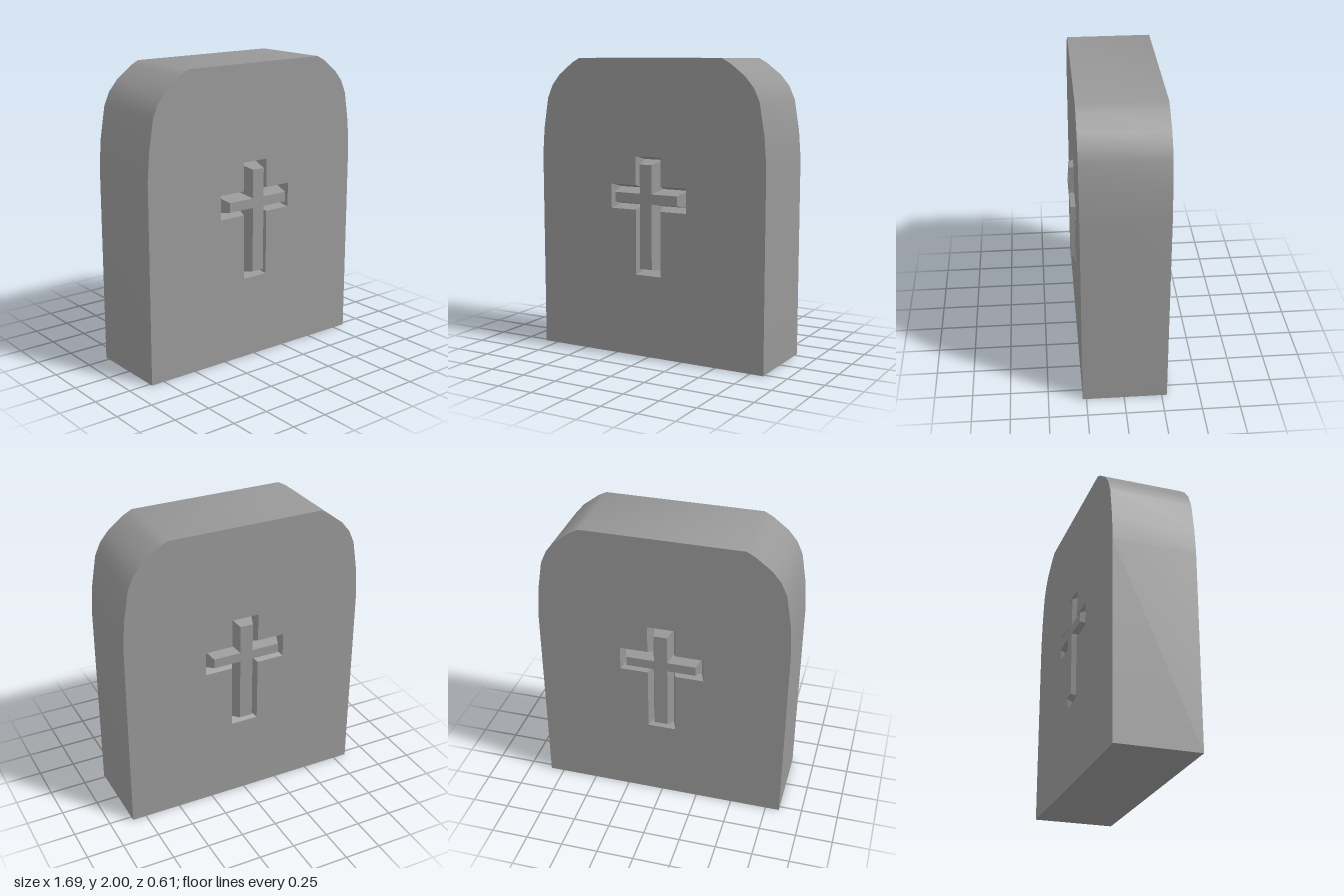
import * as THREE from 'three';
import { toCreasedNormals } from 'three/addons/utils/BufferGeometryUtils.js';

const material = new THREE.MeshStandardMaterial({ color: 0x979797 });
const FRONT = 0.274, BACK = -0.285, RAISED = 0.305;

// Right half of the rounded slab outline, bottom to top
const half = [[0.845, 0], [0.845, 1.34], [0.831, 1.52], [0.796, 1.73], [0.757, 1.816],
  [0.696, 1.889], [0.59, 1.97], [0.533, 2]];
const slab = [...half, ...half.map(([x, y]) => [-x, y]).reverse()];

// Cross outline, counter-clockwise, shrunk inwards by d
function cross(d) {
  const bar = 0.095 - d, arm = 0.285 - d;
  const bottom = 0.56 + d, low = 1 + d, high = 1.165 - d, top = 1.358 - d;
  return [[bar, bottom], [bar, low], [arm, low], [arm, high], [bar, high], [bar, top],
    [-bar, top], [-bar, high], [-arm, high], [-arm, low], [-bar, low], [-bar, bottom]];
}

const points = (outline) => outline.map(([x, y]) => new THREE.Vector2(x, y));

// Flat face at depth z, with an optional hole
function cap(outline, z, hole) {
  const shape = new THREE.Shape(points(outline));
  if (hole) shape.holes.push(new THREE.Path(points(hole)));
  return new THREE.ShapeGeometry(shape).translate(0, 0, z);
}

// Wall joining two closed rings, each { outline, z }
function wall(a, b, crease) {
  const pos = [], n = a.outline.length;
  for (let i = 0; i < n; i++) {
    const j = (i + 1) % n;
    const [p, q, s, t] = [[a, i], [a, j], [b, j], [b, i]].map(([ring, k]) => [...ring.outline[k], ring.z]);
    pos.push(...p, ...q, ...s, ...p, ...s, ...t);
  }
  const g = new THREE.BufferGeometry();
  g.setAttribute('position', new THREE.Float32BufferAttribute(pos, 3));
  g.computeVertexNormals();
  return toCreasedNormals(g, crease);
}

function add(parent, name, geometry) {
  const mesh = new THREE.Mesh(geometry, material);
  mesh.name = name;
  parent.add(mesh);
}

// Slab face with a raised cross standing in a groove
function createFace(name, z, grooveDepth) {
  const face = new THREE.Group();
  face.name = name;
  const rim = { outline: cross(0), z };
  const floor = { outline: cross(0.025), z: z - grooveDepth };
  const top = { outline: cross(0.05), z: RAISED };
  add(face, 'slabFace', cap(slab, z, rim.outline));
  add(face, 'crossGroove', wall(rim, floor, 0.1));
  add(face, 'crossSides', wall(floor, top, 0.1));
  add(face, 'crossTop', cap(top.outline, RAISED));
  return face;
}

export function createModel() {
  const model = new THREE.Group();
  model.name = 'gravestone';
  // Rim around the slab, smooth over the shoulders
  add(model, 'slabRim', wall({ outline: slab, z: BACK }, { outline: slab, z: FRONT }, 0.6));
  model.add(createFace('frontFace', FRONT, 0.085));
  const back = createFace('backFace', -BACK, 0.055);
  back.rotation.y = Math.PI;
  model.add(back);
  return model;
}
